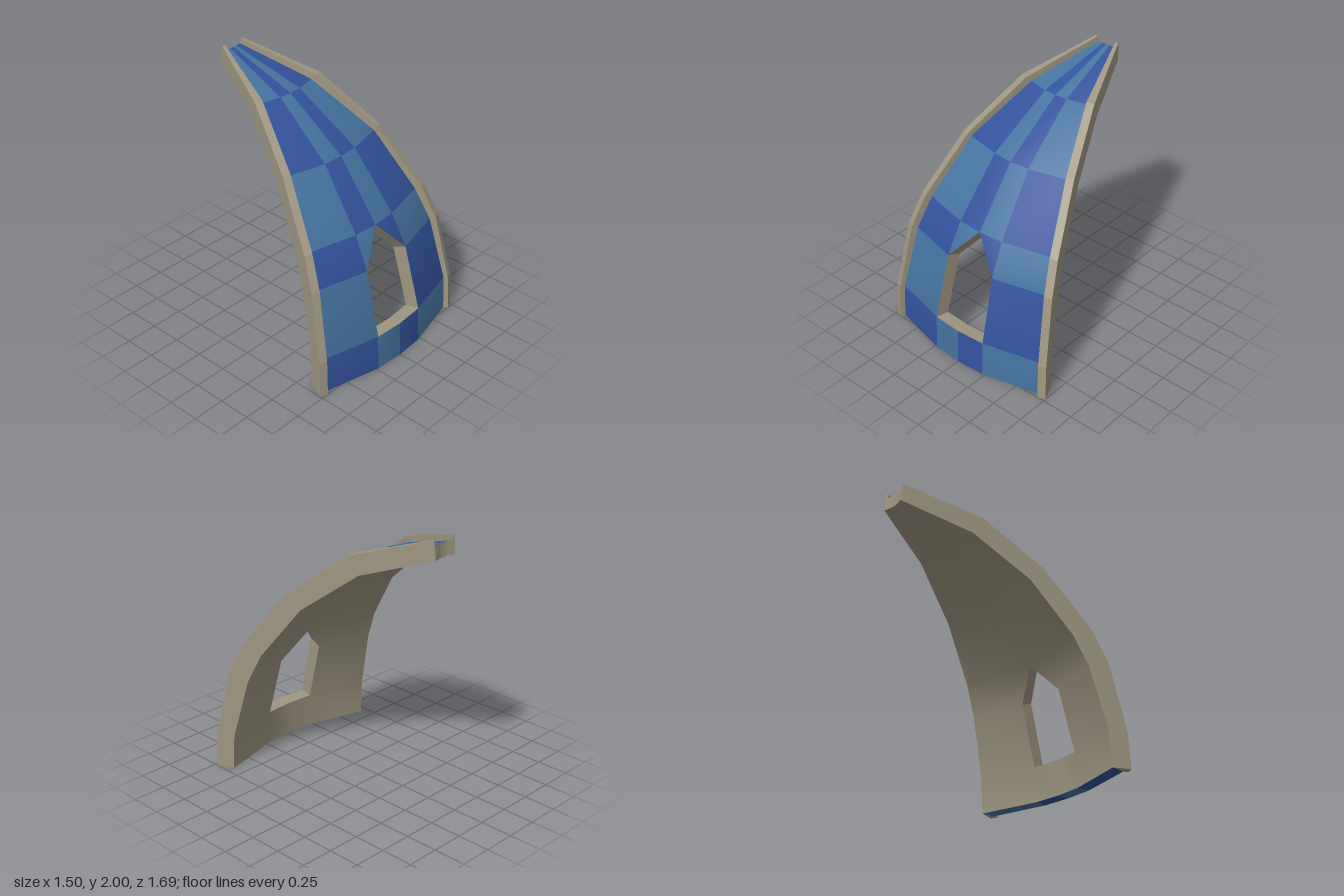
import * as THREE from 'three';

const AXIS_Z = -1.08;              // vertical axis of the full dome
const HALF = Math.PI / 8;          // the panel is one eighth of the dome
const COL = THREE.MathUtils.degToRad(6.9);

// Profiles from the ground up: [radius, height]
const SKIN = [[1.922, 0], [1.908, 0.28], [1.775, 0.78], [1.65, 1.02], [1.32, 1.45], [0.835, 1.78], [0.26, 1.96]];
const LINING = [[1.818, 0], [1.802, 0.27], [1.672, 0.74], [1.558, 0.97], [1.239, 1.37], [0.8, 1.685], [0.254, 1.86]];
const RIB = [[1.959, 0], [1.943, 0.28], [1.82, 0.8], [1.70, 1.04], [1.342, 1.48], [0.877, 1.82], [0.27, 2.0]];
const RIB_WIDTH = [0.06, 0.06, 0.06, 0.06, 0.06, 0.06, 0.025];

const polar = (r, a, y) => new THREE.Vector3(r * Math.sin(a), y, AXIS_Z + r * Math.cos(a));

// Surface through rows of points; cell(c, r) may return 'skip', 'upperLeft' or 'upperRight'
function sheet(rows, { cell = () => 'full', paint = null, flip = false, flat = false } = {}) {
  const n = rows[0].length;
  const index = [];
  let geo = new THREE.BufferGeometry().setFromPoints(rows.flat());
  for (let r = 0; r < rows.length - 1; r++) {
    for (let c = 0; c < n - 1; c++) {
      const a = r * n + c, b = a + 1, d = b + n, e = a + n;
      const shapes = {
        full: [a, b, d, a, d, e], upperLeft: [a, d, e], upperRight: [b, d, e], skip: [],
      };
      const tris = shapes[cell(c, r)];
      if (paint && tris.length) geo.addGroup(index.length, tris.length, paint(c, r));
      for (let i = 0; i < tris.length; i += 3) {
        index.push(tris[i], tris[i + (flip ? 2 : 1)], tris[i + (flip ? 1 : 2)]);
      }
    }
  }
  geo.setIndex(index);
  if (flat) {
    const groups = geo.groups;
    geo = geo.toNonIndexed();
    geo.groups = groups;
  }
  geo.computeVertexNormals();
  return geo;
}

// Pointed window: two cells removed, two more cut diagonally
function windowCell(c, r) {
  if (c !== 1 && c !== 2) return 'full';
  if (r === 1) return 'skip';
  if (r === 2) return c === 1 ? 'upperLeft' : 'upperRight';
  return 'full';
}

export function createModel() {
  const group = new THREE.Group();
  const material = (name, color) => {
    const m = new THREE.MeshStandardMaterial({ color, side: THREE.DoubleSide });
    m.name = name;
    return m;
  };
  const frame = material('warm grey frame', 0x9e9682);
  const blues = [material('dark blue cloth', 0x32529a), material('light blue cloth', 0x44729e)];
  const add = (name, geo, mat) => {
    const mesh = new THREE.Mesh(geo, mat);
    mesh.name = name;
    group.add(mesh);
  };

  // Outer skin stops at the ribs, inner lining runs to the full wedge
  const skin = SKIN.map(([r, y], i) => {
    const edge = HALF - Math.asin(RIB_WIDTH[i] / r);
    return [-edge, -COL, 0, COL, edge].map(a => polar(r, a, y));
  });
  const lining = LINING.map(([r, y]) => [-HALF, -COL, 0, COL, HALF].map(a => polar(r, a, y)));
  const checker = (c, r) => (c + r) % 2;

  add('checkeredSkin', sheet(skin, { cell: windowCell, paint: checker }), blues);
  add('innerLining', sheet(lining, { cell: windowCell, flip: true }), frame);
  add('bottomHem', sheet([lining[0], skin[0]], { paint: checker, flat: true }), blues);
  add('topEnd', sheet([skin[6], lining[6]], { flat: true }), frame);

  // Window reveal joins the two cut-outs
  const outline = [[1, 1], [2, 1], [3, 1], [3, 2], [2, 3], [1, 2], [1, 1]];
  const loop = grid => outline.map(([c, r]) => grid[r][c]);
  add('windowReveal', sheet([loop(skin), loop(lining)], { flat: true }), frame);

  // Raised ribs along both sides, with closed ends
  for (const side of [-1, 1]) {
    const name = side > 0 ? 'leftRib' : 'rightRib';
    const col = side > 0 ? 4 : 0;
    const sections = RIB.map(([r, y], i) => {
      const w = RIB_WIDTH[i];
      const inner = polar(Math.hypot(r, w), side * (HALF - Math.atan(w / r)), y);
      return [skin[i][col], inner, polar(r, side * HALF, y), lining[i][col]];
    });
    add(name, sheet(sections, { flip: side < 0, flat: true }), frame);
    const cap = ([k, i, o, n]) => [[k, i], [n, o]];
    add(name + 'Foot', sheet(cap(sections[0]), { flip: side > 0, flat: true }), frame);
    add(name + 'Tip', sheet(cap(sections[6]), { flip: side < 0, flat: true }), frame);
  }
  return group;
}
